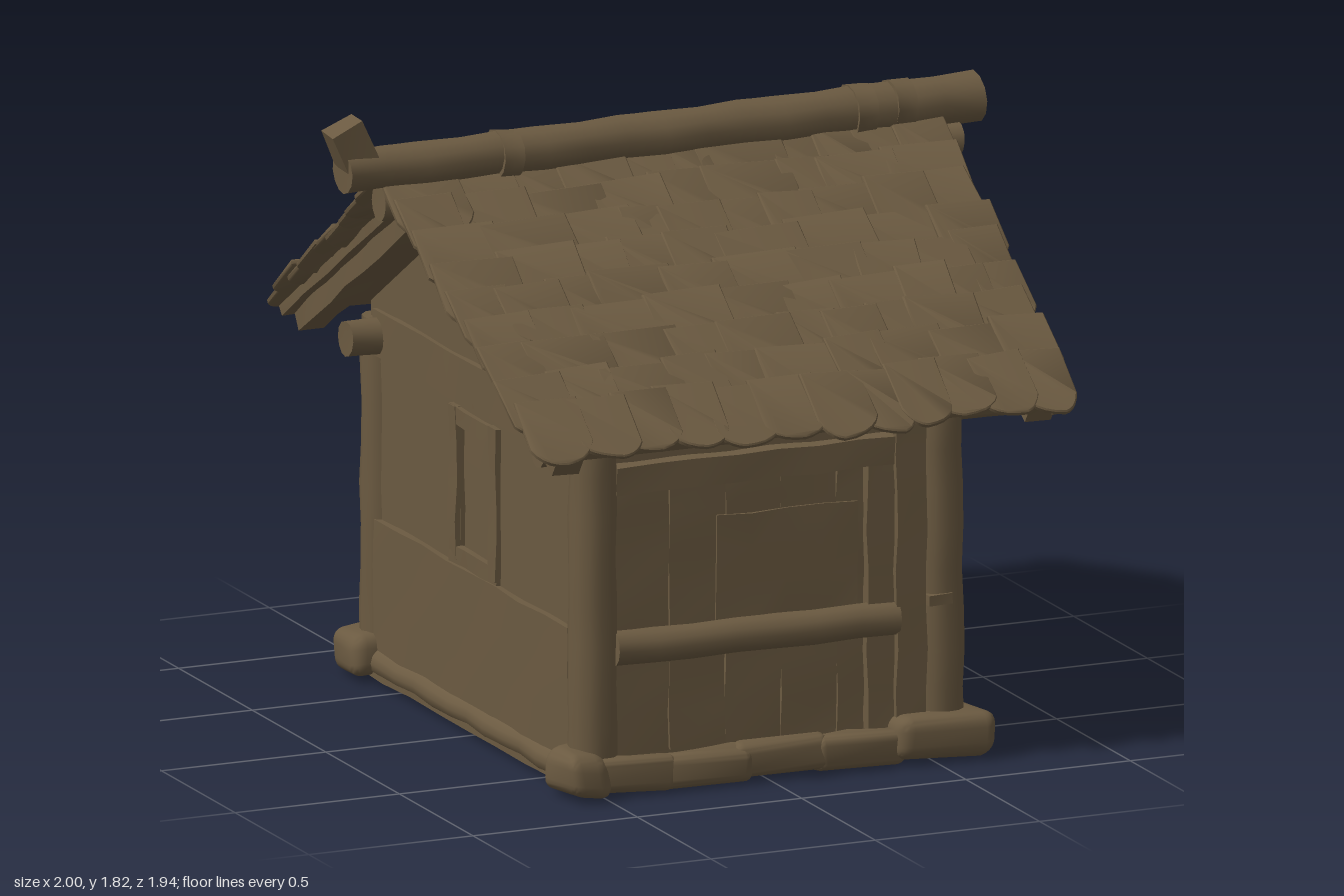
import * as THREE from 'three';
import { toCreasedNormals } from 'three/addons/utils/BufferGeometryUtils.js';
import { RoundedBoxGeometry } from 'three/addons/geometries/RoundedBoxGeometry.js';

export function createModel() {
  const model = new THREE.Group();
  model.name = 'timberHut';
  const wood = new THREE.MeshStandardMaterial({ color: 0x6b5a41 });
  wood.name = 'weatheredWood';

  let seed = 11;
  const rnd = () => { seed = (seed * 16807) % 2147483647; return seed / 2147483647; };
  const jit = (a) => (rnd() - 0.5) * 2 * a;

  // Wobbles a surface by a smooth rule so timber looks hand-hewn
  function rough(geo, amp) {
    const p = geo.attributes.position, o = rnd() * 20;
    for (let i = 0; i < p.count; i++) {
      const x = p.getX(i), y = p.getY(i), z = p.getZ(i);
      p.setXYZ(i,
        x + amp * Math.sin(y * 17 + z * 23 + o),
        y + amp * Math.sin(x * 21 + z * 13 + o * 2),
        z + amp * Math.sin(x * 15 + y * 19 + o * 3));
    }
    return toCreasedNormals(geo, 0.75);
  }
  function add(name, geo, parent = model) {
    const m = new THREE.Mesh(geo, wood);
    m.name = name;
    parent.add(m);
    return m;
  }
  // Box given by its min and max corners
  function slab(name, a, b, amp = 0.003) {
    const s = a.map((v, i) => b[i] - v);
    const n = s.map((v) => Math.max(1, Math.min(8, Math.round(v / 0.12))));
    const m = add(name, rough(new THREE.BoxGeometry(...s, ...n), amp));
    m.position.set(...a.map((v, i) => (v + b[i]) / 2));
    return m;
  }
  // Round timber between two points
  function log(name, a, b, r, r2 = r, amp = 0.003) {
    const A = new THREE.Vector3(...a), B = new THREE.Vector3(...b);
    const d = B.clone().sub(A), len = d.length();
    const m = add(name, rough(new THREE.CylinderGeometry(r2, r, len, 12, Math.max(2, Math.round(len / 0.12))), amp));
    m.position.copy(A).add(B).multiplyScalar(0.5);
    m.quaternion.setFromUnitVectors(new THREE.Vector3(0, 1, 0), d.normalize());
    return m;
  }
  // Square timber between two points lying in one x plane
  function beam(name, x, a, b, wx, h) {
    const dz = b[0] - a[0], dy = b[1] - a[1], len = Math.hypot(dz, dy);
    const m = add(name, rough(new THREE.BoxGeometry(wx, h, len, 1, 1, 8), 0.004));
    m.position.set(x, (a[1] + b[1]) / 2, (a[0] + b[0]) / 2);
    m.rotation.x = -Math.atan2(dy, dz);
  }
  function stone(name, x, y, z, w, h, d) {
    const m = add(name, rough(new RoundedBoxGeometry(w, h, d, 3, Math.min(w, h, d) * 0.33), 0.008));
    m.position.set(x, y, z);
  }

  // Floor with planks
  slab('floor', [-0.57, 0.02, -0.76], [0.62, 0.075, 0.76]);
  for (let i = 0; i < 9; i++) {
    const z = -0.67 + i * 0.15;
    slab('floorPlank', [-0.52, 0.07, z], [0.58 + jit(0.015), 0.083 + rnd() * 0.004, z + 0.146], 0.002);
  }
  log('thresholdLog', [0.6, 0.055, -0.72], [0.6, 0.055, 0.72], 0.035);
  log('rearSill', [-0.54, 0.06, -0.72], [-0.54, 0.06, 0.72], 0.04);

  // Rear wall with gable and window opening; local x runs along world z
  const wall = new THREE.Shape();
  [[-0.72, 0.05], [0.72, 0.05], [0.72, 1.08], [0, 1.54], [-0.72, 1.08]]
    .forEach(([u, v], i) => (i ? wall.lineTo(u, v) : wall.moveTo(u, v)));
  const opening = new THREE.Path();
  [[-0.11, 0.52], [-0.11, 0.87], [0.11, 0.87], [0.11, 0.52]]
    .forEach(([u, v], i) => (i ? opening.lineTo(u, v) : opening.moveTo(u, v)));
  wall.holes.push(opening);
  const rear = add('rearWall', new THREE.ExtrudeGeometry(wall, { depth: 0.04, bevelEnabled: false }));
  rear.rotation.y = -Math.PI / 2;
  rear.position.x = -0.5;
  for (const x of [-0.555, -0.505]) {
    for (const s of [-1, 1]) {
      slab('windowJamb', [x, 0.48, s * 0.135 - 0.026], [x + 0.02, 0.92, s * 0.135 + 0.026]);
    }
    slab('windowLintel', [x, 0.87, -0.16], [x + 0.02, 0.92, 0.16]);
    slab('windowSill', [x, 0.47, -0.16], [x + 0.02, 0.52, 0.16]);
  }
  slab('windowShutter', [-0.535, 0.52, -0.095], [-0.515, 0.87, 0.105], 0.002);
  slab('rearLowerBoards', [-0.56, 0.08, -0.66], [-0.53, 0.47, 0.66]);
  slab('rearInnerBoards', [-0.51, 0.08, -0.66], [-0.47, 0.48, 0.66]);
  slab('rearCrossBoard', [-0.555, 0.94, -0.68], [-0.53, 1.07, 0.68]);
  slab('innerPanel', [-0.48, 0.09, -0.5], [-0.43, 0.485, -0.17]);

  // Front and back walls share one layout, mirrored in z
  for (const s of [1, -1]) {
    const side = (name, x0, y0, x1, y1, zIn, zOut) =>
      slab(name, [x0, y0, Math.min(s * zIn, s * zOut)], [x1, y1, Math.max(s * zIn, s * zOut)]);
    side('sidePanel', -0.54, 0.06, 0.58, 1.06, 0.66, 0.695);
    for (let i = 0; i < 5; i++) {
      const x = -0.44 + i * 0.17;
      side('sideBoard', x, 0.1, x + 0.168, 0.9, 0.68, 0.703 + rnd() * 0.003);
    }
    side('raisedBoard', -0.13, 0.46, 0.3, 0.76, 0.69, 0.712);
    side('innerUpright', 0.4, 0.1, 0.49, 1.0, 0.66, 0.755);
    side('thinUpright', 0.32, 0.1, 0.405, 0.9, 0.68, 0.735);
    log('middleRail', [-0.45, 0.415, s * 0.725], [0.41, 0.415, s * 0.725], 0.05);
    side('upperRail', -0.45, 0.86, 0.41, 0.94, 0.66, 0.745);
    log('sideSill', [-0.57, 0.064, s * 0.75], [0.6, 0.064, s * 0.75], 0.045, 0.045, 0.007);
    for (let i = 0; i < 4; i++) {
      stone('sillStone', -0.42 + i * 0.23, 0.064, s * 0.765, 0.28, 0.092 + jit(0.008), 0.08);
    }
    // Corner posts on stone feet
    log('rearPost', [-0.505, 0.08, s * 0.705], [-0.505, 1.04, s * 0.705], 0.07, 0.066);
    log('openPost', [0.55, 0.08, s * 0.695], [0.55, 1.0, s * 0.695], 0.075, 0.068);
    side('postBacking', 0.5, 0.1, 0.56, 1.0, 0.61, 0.67);
    stone('openFoot', 0.525, 0.075, s * 0.71, 0.3, 0.125, 0.24);
    stone('rearFoot', -0.56, 0.075, s * 0.73, 0.13, 0.12, 0.2);
    // Wall plate log and brace
    log('wallPlate', [-0.65, 0.995, s * 0.65], [0.84, 0.995, s * 0.65], 0.052, 0.057);
    beam('cornerBrace', 0.56, [s * 0.63, 0.79], [s * 0.44, 0.99], 0.06, 0.055);
    // Rafters under the roof edges and between them
    for (const x of [-0.66, 0.78]) beam('edgeRafter', x, [0, 1.55], [s * 0.88, 1.0], 0.08, 0.065);
    for (const x of [-0.1, 0.42]) beam('innerRafter', x, [0, 1.555], [s * 0.78, 1.068], 0.07, 0.055);
    beam('bargeBoard', 0.82, [0, 1.59], [s * 0.91, 1.015], 0.03, 0.05);
  }

  // Low rails beside the open side
  slab('lowScreenLeft', [0.5, 0.09, 0.4], [0.55, 0.47, 0.68]);
  slab('lowScreenCapLeft', [0.49, 0.45, 0.4], [0.56, 0.48, 0.77]);
  log('lowPostLeft', [0.5, 0.08, 0.35], [0.5, 0.43, 0.35], 0.046, 0.042);
  log('lowPostRight', [0.5, 0.08, -0.54], [0.5, 0.43, -0.54], 0.042, 0.038);
  log('lowPeg', [0.5, 0.35, -0.5], [0.5, 0.35, -0.66], 0.018, 0.018, 0.002);

  // Open gable: tie beams, king post, carved plaque
  log('tieBeam', [0.58, 1.045, -0.62], [0.58, 1.045, 0.62], 0.05);
  log('innerTieBeam', [-0.47, 1.03, -0.66], [-0.47, 1.03, 0.66], 0.035);
  slab('kingPost', [0.55, 1.05, -0.026], [0.61, 1.54, 0.026]);
  const carve = new THREE.Shape();
  [[-0.14, 1.3], [-0.08, 1.36], [0.13, 1.34], [0.15, 1.3], [0.1, 1.24], [0.12, 1.14], [0.03, 1.11],
    [0.02, 1.03], [-0.04, 1.04], [-0.04, 1.12], [-0.12, 1.13], [-0.09, 1.22]]
    .forEach(([u, v], i) => (i ? carve.lineTo(u, v) : carve.moveTo(u, v)));
  const plaque = add('gablePlaque', new THREE.ExtrudeGeometry(carve,
    { depth: 0.02, bevelSize: 0.006, bevelThickness: 0.008, bevelSegments: 2 }));
  plaque.rotation.y = Math.PI / 2;
  plaque.position.x = 0.615;

  // Roof slopes covered with overlapping round-ended shingles
  const pitch = Math.atan(0.63), slope = 1.07;
  function shingleGeometry(w, h) {
    const t = new THREE.Shape();
    const d = jit(0.015);
    t.moveTo(-w / 2, h / 2);
    t.lineTo(-w / 2, -h * 0.24);
    t.quadraticCurveTo(-w * 0.38, -h * 0.47 - d, jit(0.03), -h / 2 - d);
    t.quadraticCurveTo(w * 0.38, -h * 0.47 - d, w / 2, -h * 0.24);
    t.lineTo(w / 2, h / 2);
    return rough(new THREE.ExtrudeGeometry(t, { depth: 0.01, bevelSize: 0.004, bevelThickness: 0.004, bevelSegments: 1, curveSegments: 5 }), 0.003);
  }
  for (const s of [1, -1]) {
    const turn = new THREE.Group();
    turn.name = s > 0 ? 'frontRoof' : 'backRoof';
    turn.rotation.y = s > 0 ? 0 : Math.PI;
    const plane = new THREE.Group();
    plane.name = 'roofSlope';
    plane.position.y = 1.6;
    plane.rotation.x = pitch - Math.PI / 2;
    turn.add(plane);
    model.add(turn);
    const deck = add('roofDeck', rough(new THREE.BoxGeometry(1.56, slope, 0.03, 8, 6, 1), 0.004), plane);
    deck.position.set(s * 0.05, -slope / 2, 0);
    const rows = 9;
    for (let r = 0; r < rows; r++) {
      const f = r / (rows - 1), left = -0.82 + 0.06 * f, right = 0.855;
      let x = left + jit(0.012);
      while (x < right - 0.04) {
        let w = 0.11 + rnd() * (r === rows - 1 ? 0.05 : 0.12);
        if (x + w > right - 0.06) w = right - x + jit(0.012);
        const m = add('shingle', shingleGeometry(w + 0.035, 0.22), plane);
        m.position.set(s * (x + w / 2), -0.09 - f * 0.915 + jit(0.014), 0.024 + jit(0.005));
        m.rotation.set(0.08 + jit(0.02), jit(0.03), jit(0.05));
        x += w;
      }
    }
  }

  // Ridge logs, rope bands and end block
  log('ridgePurlin', [-0.84, 1.56, 0], [0.92, 1.56, 0], 0.05);
  log('ridgeLog', [-0.96, 1.67, 0.02], [0.99, 1.665, -0.035], 0.06, 0.074);
  for (const [x, r] of [[-0.46, 0.069], [0.63, 0.078], [0.75, 0.077]]) {
    const z = -0.006 - 0.028 * x;
    const band = log('ridgeBand', [x - 0.03, 1.667, z], [x + 0.03, 1.667, z], r);
    band.rotateZ(jit(0.1));
  }
  const block = slab('ridgeEndBlock', [-0.98, 1.66, -0.025], [-0.88, 1.81, 0.06]);
  block.rotation.z = 0.4;

  return model;
}
